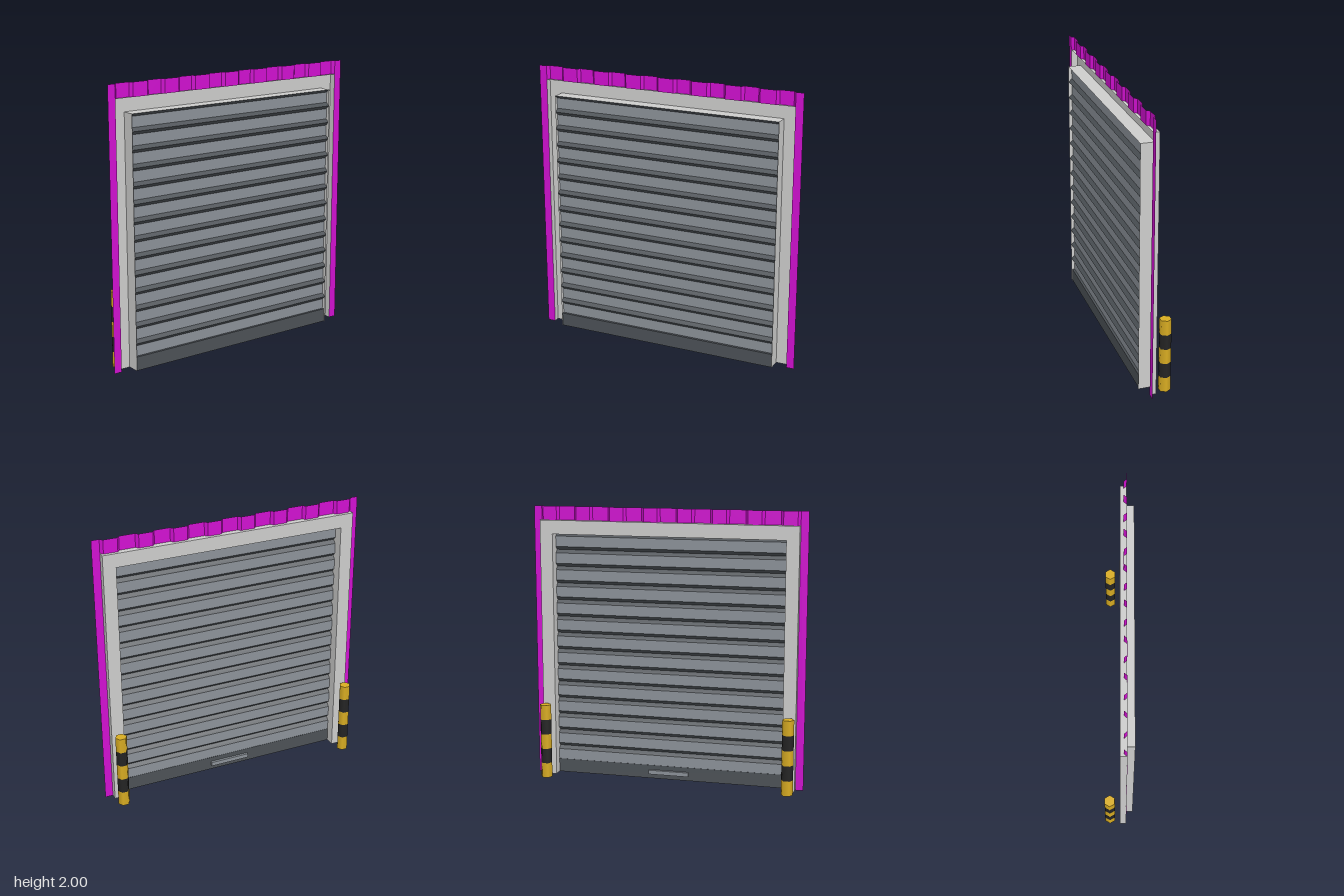
import * as THREE from 'three';

const mat = (name, color, side = THREE.FrontSide) => {
  const m = new THREE.MeshStandardMaterial({ color, side });
  m.name = name;
  return m;
};

// Flat-faced sheet joining two polylines of equal length
function ribbon(a, b) {
  const pos = [];
  for (let i = 0; i < a.length - 1; i++) {
    pos.push(...a[i], ...a[i + 1], ...b[i + 1], ...a[i], ...b[i + 1], ...b[i]);
  }
  const g = new THREE.BufferGeometry();
  g.setAttribute('position', new THREE.Float32BufferAttribute(pos, 3));
  g.computeVertexNormals();
  return g;
}

export function createModel() {
  const model = new THREE.Group();
  model.name = 'rollerDoor';

  const wallMat = mat('magenta cladding', 0xd010d0, THREE.DoubleSide);
  const frameMat = mat('light grey frame', 0xcccccb, THREE.DoubleSide);
  const slatMat = mat('grey slat', 0x8b9198, THREE.DoubleSide);
  const darkMat = mat('dark grey joint', 0x4c5156, THREE.DoubleSide);
  const yellowMat = mat('safety yellow', 0xd8ac22);
  const blackMat = mat('black band', 0x242424);

  const add = (parent, name, geometry, material, x = 0, y = 0, z = 0) => {
    const mesh = new THREE.Mesh(geometry, material);
    mesh.name = name;
    mesh.position.set(x, y, z);
    parent.add(mesh);
    return mesh;
  };
  const group = (name) => {
    const g = new THREE.Group();
    g.name = name;
    model.add(g);
    return g;
  };

  // Cladding: flat side strips and a corrugated band over the frame
  const wall = group('wallCladding');
  const zFront = 0.053, zBack = 0.032, edge = 0.943;
  for (const s of [1, -1]) {
    const x0 = s > 0 ? edge : -1, x1 = s > 0 ? 1 : -edge;
    add(wall, s > 0 ? 'leftStrip' : 'rightStrip',
      ribbon([[x0, 0, zFront], [x1, 0, zFront]], [[x0, 2, zFront], [x1, 2, zFront]]), wallMat);
  }
  const wave = [];
  for (let k = 0; k < 8; k++) {
    const c = -0.875 + k * 0.25;
    wave.push([c - 0.068, zFront], [c - 0.05, zBack], [c + 0.05, zBack], [c + 0.068, zFront]);
  }
  add(wall, 'corrugatedHeader',
    ribbon(wave.map(([x, z]) => [x, 1.9, z]), wave.map(([x, z]) => [x, 2, z])), wallMat);

  // Sheet-metal frame: sleeve, back flange and outer return lip
  const frame = group('doorFrame');
  const loop = (w, h, z) => [[-w, 0, z], [-w, h, z], [w, h, z], [w, 0, z]];
  add(frame, 'sleeve', ribbon(loop(0.85, 1.8, 0.104), loop(0.85, 1.8, 0.007)), frameMat);
  add(frame, 'flange', ribbon(loop(0.85, 1.8, 0.007), loop(0.943, 1.9, 0.007)), frameMat);
  add(frame, 'lip', ribbon(loop(0.943, 1.9, 0.007), loop(0.943, 1.9, zFront)), frameMat);

  // Shutter: flat slats joined by dark ridges that bulge forward
  const shutter = group('shutter');
  const zSlat = 0.078, zRidge = 0.102, pitch = 0.1233, half = 0.849;
  const strip = (name, profile, material) =>
    add(shutter, name, ribbon(
      profile.map(([y, z]) => [half, y, z]), profile.map(([y, z]) => [-half, y, z])), material);
  for (let i = 0; i < 14; i++) {
    const y = 0.1 + i * pitch;
    strip('slat', [[y, zSlat], [y + 0.076, zSlat]], slatMat);
    const ridge = [[y + 0.076, zSlat], [Math.min(y + 0.1, 1.8), zRidge]];
    if (i < 13) ridge.push([y + pitch, zSlat]);
    strip('ridge', ridge, darkMat);
  }

  // Bottom bar with a lift handle on the inside
  add(shutter, 'bottomBar', new THREE.BoxGeometry(half * 2, 0.1, 0.02), darkMat, 0, 0.05, 0.086);
  add(shutter, 'liftHandle', new THREE.BoxGeometry(0.3, 0.03, 0.02), slatMat, 0, 0.05, 0.067);

  // Hexagonal striped bollards behind the door
  for (const s of [1, -1]) {
    const bollard = group(s > 0 ? 'leftBollard' : 'rightBollard');
    for (let i = 0; i < 5; i++) {
      const capped = i === 0 || i === 4;
      const geo = new THREE.CylinderGeometry(0.0425, 0.0425, 0.11, 6, 1, !capped, Math.PI / 2);
      add(bollard, i % 2 ? 'blackBand' : 'yellowBand', geo, i % 2 ? blackMat : yellowMat,
        s * 0.9, 0.055 + i * 0.11, -0.067);
    }
  }
  return model;
}
